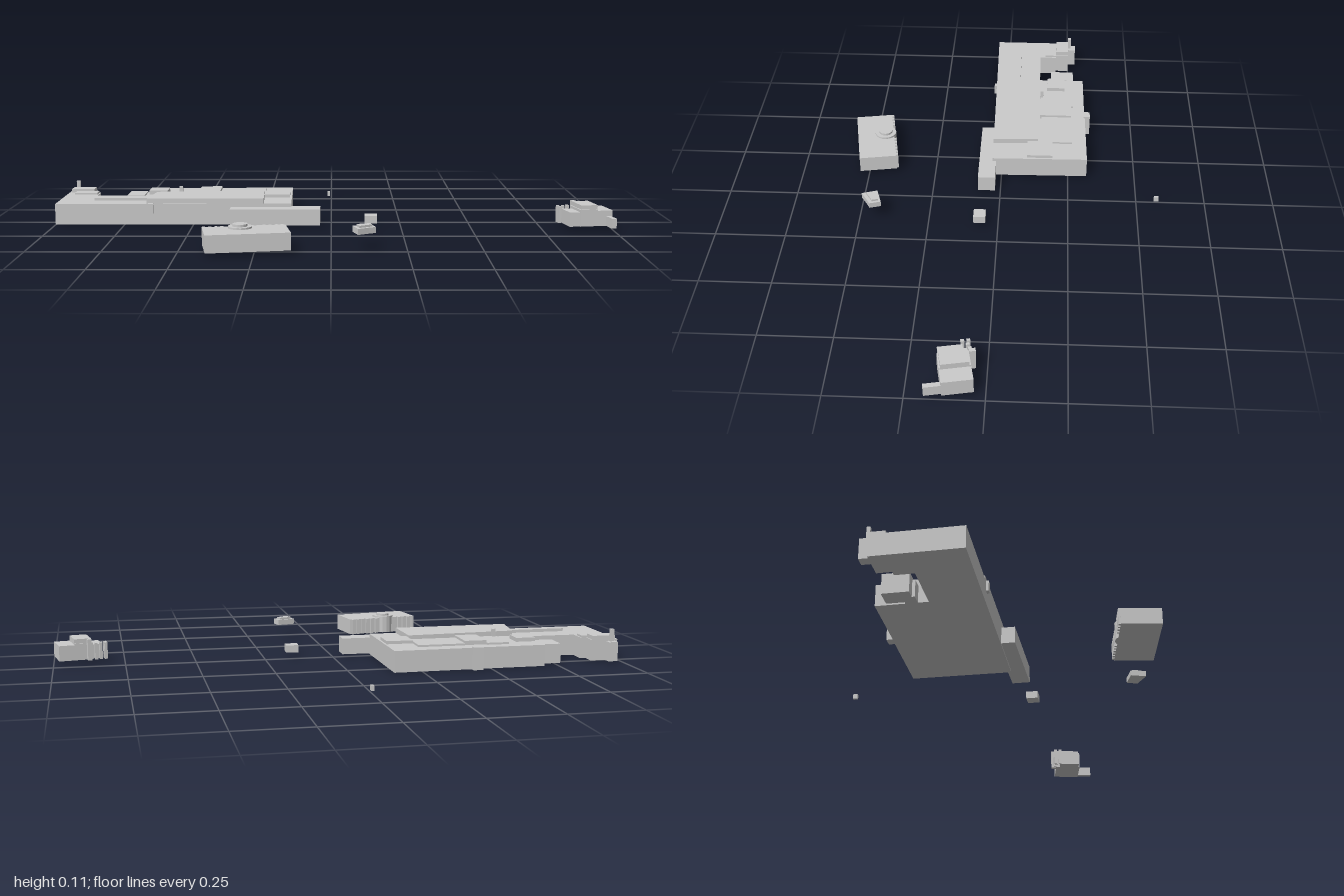
import * as THREE from 'three';

const grey = new THREE.MeshStandardMaterial({ color: 0xcccccc, flatShading: true });

function add(parent, name, geometry) {
  const mesh = new THREE.Mesh(geometry, grey);
  mesh.name = name;
  parent.add(mesh);
  return mesh;
}

// Box given by its extents in x, z and y
function block(parent, name, x0, x1, z0, z1, y0, y1) {
  const g = new THREE.BoxGeometry(x1 - x0, y1 - y0, z1 - z0);
  g.translate((x0 + x1) / 2, (y0 + y1) / 2, (z0 + z1) / 2);
  return add(parent, name, g);
}

// Upright prism over a ground plan of [x, z] corners
function prism(parent, name, plan, y0, y1) {
  const shape = new THREE.Shape(plan.map(([x, z]) => new THREE.Vector2(x, -z)));
  const g = new THREE.ExtrudeGeometry(shape, { depth: y1 - y0, bevelEnabled: false });
  g.rotateX(-Math.PI / 2);
  g.translate(0, y0, 0);
  return add(parent, name, g);
}

function drum(parent, name, x, z, r, y0, y1) {
  const g = new THREE.CylinderGeometry(r, r, y1 - y0, 16);
  g.translate(x, (y0 + y1) / 2, z);
  return add(parent, name, g);
}

function turnedGroup(parent, name, x, z, angle) {
  const g = new THREE.Group();
  g.name = name;
  g.position.set(x, 0, z);
  g.rotation.y = angle;
  parent.add(g);
  return g;
}

function mainBuilding(parent) {
  const g = turnedGroup(parent, 'mainBuilding', 0, 0, 0);
  // Body with its stepped back outline
  prism(g, 'body', [
    [-1, 0.045], [-1, -0.25], [-0.9, -0.25], [-0.9, -0.2], [-0.88, -0.2], [-0.88, -0.135],
    [-0.7, -0.135], [-0.7, -0.31], [-0.465, -0.313], [-0.465, -0.335], [-0.43, -0.335],
    [-0.43, -0.315], [-0.15, -0.32], [-0.145, 0.033],
  ], 0, 0.076);
  block(g, 'frontWing', -0.365, -0.04, 0.02, 0.083, 0.005, 0.064);
  block(g, 'backAnnex', -0.775, -0.71, -0.27, -0.18, 0, 0.07);
  block(g, 'annexLink', -0.74, -0.69, -0.21, -0.17, 0, 0.06);
  // Raised roofs
  prism(g, 'hallRoof', [[-0.65, -0.11], [-0.25, -0.135], [-0.245, 0.034], [-0.67, 0.038]], 0.07, 0.095);
  block(g, 'eastRoof', -0.25, -0.155, -0.19, -0.095, 0.07, 0.087);
  block(g, 'centreRoof', -0.5, -0.42, -0.26, -0.14, 0.07, 0.091);
  block(g, 'innerRoof', -0.42, -0.25, -0.265, -0.145, 0.07, 0.083);
  block(g, 'backRoof', -0.58, -0.5, -0.27, -0.14, 0.07, 0.083);
  block(g, 'cornerRoof', -0.69, -0.62, -0.235, -0.165, 0.07, 0.09);
  block(g, 'backBumpRoof', -0.465, -0.43, -0.335, -0.31, 0.07, 0.08);
  block(g, 'wingSkylight', -0.87, -0.67, -0.055, -0.025, 0.07, 0.087);
  block(g, 'westRoof', -0.99, -0.905, -0.25, -0.2, 0.07, 0.09);
  block(g, 'westStep', -0.97, -0.885, -0.2, -0.155, 0.07, 0.083);
  block(g, 'facadeBox', -0.665, -0.645, 0.03, 0.049, 0.042, 0.078);
  // Chimneys
  block(g, 'chimneyBase', -0.99, -0.955, -0.28, -0.25, 0, 0.07);
  block(g, 'westChimney', -0.982, -0.968, -0.262, -0.25, 0.06, 0.114);
  block(g, 'hallChimney', -0.571, -0.559, -0.15, -0.138, 0.07, 0.111);
}

function frontHouse(parent) {
  const g = turnedGroup(parent, 'frontHouse', -0.278, 0.487, 0.17);
  block(g, 'body', -0.139, 0.139, -0.067, 0.07, 0.012, 0.071);
  // Row of small piers along the back wall
  for (let i = 0; i < 14; i++) {
    const x = -0.132 + i * 0.02;
    if (Math.abs(x + 0.015) > 0.04) block(g, 'backPier', x - 0.005, x + 0.005, -0.075, -0.06, 0.012, 0.071);
  }
  // Round bay with a stepped cap
  drum(g, 'bay', -0.015, -0.037, 0.04, 0.012, 0.077);
  drum(g, 'bayCap', -0.015, -0.037, 0.025, 0.07, 0.085);
}

function eastHouse(parent) {
  const g = turnedGroup(parent, 'eastHouse', 0.91, 0.1, 0.19);
  block(g, 'westBlock', -0.077, -0.03, -0.035, 0.045, 0.015, 0.066);
  block(g, 'tallBlock', -0.04, 0.025, -0.05, 0.05, 0.015, 0.075);
  block(g, 'tallRoof', -0.035, 0.025, -0.045, 0.045, 0.07, 0.09);
  block(g, 'eastBlock', 0.025, 0.08, -0.05, 0.05, 0.015, 0.07);
  block(g, 'sideWing', 0.056, 0.073, 0.045, 0.104, 0.015, 0.05);
  block(g, 'chimney', -0.032, -0.018, -0.07, -0.05, 0.015, 0.09);
  for (const [x, z] of [[-0.085, -0.055], [-0.068, -0.05], [-0.05, -0.055], [-0.085, -0.036]])
    block(g, 'backPier', x - 0.005, x + 0.005, z - 0.006, z + 0.006, 0.015, 0.075);
}

export function createModel() {
  const model = new THREE.Group();
  model.name = 'buildingComplex';
  mainBuilding(model);
  frontHouse(model);
  eastHouse(model);
  // Small outbuildings
  prism(model, 'angledHut', [[0.07, 0.44], [0.135, 0.42], [0.147, 0.46], [0.125, 0.472], [0.088, 0.495]], 0.055, 0.075);
  prism(model, 'angledHutRoof', [[0.083, 0.445], [0.128, 0.43], [0.135, 0.452], [0.093, 0.478]], 0.07, 0.082);
  block(model, 'squareHut', 0.12, 0.165, 0.045, 0.088, 0.014, 0.041);
  block(model, 'backPost', -0.016, -0.006, -0.583, -0.566, 0, 0.018);
  return model;
}
